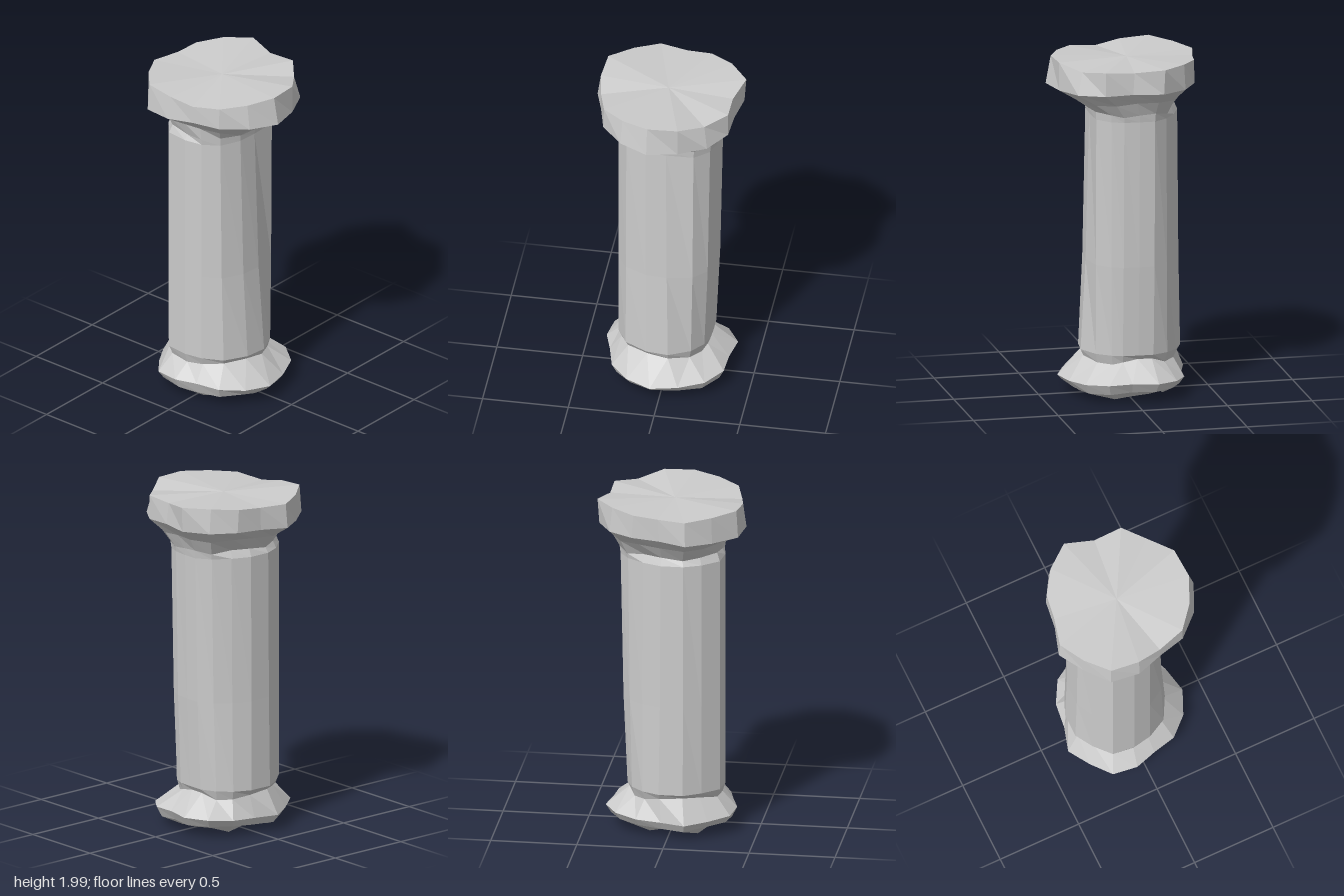
import * as THREE from 'three';

// Worn outlines as [x, z], running clockwise seen from above, starting at the back
const SHAFT = [[-0.12, -0.3], [-0.03, -0.3], [0.06, -0.29], [0.13, -0.265], [0.2, -0.18], [0.205, -0.02],
  [0.2, 0.1], [0.15, 0.22], [0.06, 0.28], [-0.05, 0.3], [-0.18, 0.285], [-0.265, 0.19], [-0.31, 0.09],
  [-0.31, -0.04], [-0.265, -0.15], [-0.2, -0.245]];
const FOOT = [[-0.12, -0.26], [-0.03, -0.26], [0.06, -0.255], [0.12, -0.23], [0.2, -0.165], [0.26, -0.04],
  [0.245, 0.09], [0.175, 0.22], [0.06, 0.28], [-0.05, 0.3], [-0.18, 0.285], [-0.265, 0.19], [-0.325, 0.09],
  [-0.325, -0.05], [-0.28, -0.15], [-0.21, -0.22]];
const SLAB_TOP = [[-0.15, -0.43], [0.02, -0.38], [0.19, -0.38], [0.3, -0.26], [0.405, -0.12], [0.415, 0.055],
  [0.345, 0.21], [0.24, 0.335], [0.075, 0.38], [-0.07, 0.405], [-0.24, 0.39], [-0.355, 0.26], [-0.435, 0.115],
  [-0.395, -0.045], [-0.375, -0.19], [-0.285, -0.325]];
const SLAB_LOW = [[-0.145, -0.42], [0.03, -0.39], [0.19, -0.38], [0.33, -0.28], [0.405, -0.12], [0.445, 0.055],
  [0.37, 0.22], [0.24, 0.34], [0.075, 0.38], [-0.075, 0.425], [-0.245, 0.4], [-0.355, 0.265], [-0.445, 0.12],
  [-0.395, -0.04], [-0.375, -0.2], [-0.29, -0.34]];
const TOP_Y = [2, 1.98, 1.99, 1.97, 2, 2, 1.99, 1.98, 1.96, 1.985, 2, 1.99, 1.98, 1.98, 1.99, 2];
// How far the capital's underside has flared at mid height, around the column
const FLARE = [0.4, 0.4, 0.4, 0.45, 0.55, 0.55, 0.5, 0.3, 0.15, 0.1, 0.1, 0.2, 0.25, 0.3, 0.35, 0.4];
const N = SHAFT.length;

const ring = (outline, y) => outline.map(([x, z], i) => [x, typeof y === 'function' ? y(i) : y, z]);
const scale = (outline, s) => outline.map(([x, z], i) => {
  const k = typeof s === 'function' ? s(i) : s;
  return [x * k, z * k];
});
const blend = (a, b, t) => a.map(([x, z], i) => {
  const k = typeof t === 'function' ? t(i) : t;
  return [x + (b[i][0] - x) * k, z + (b[i][1] - z) * k];
});
const wave = (i, k) => Math.sin(i * k + 1);

// Skin a stack of rings, bottom to top, with optional fan caps
function loft(name, rings, { bottomY, topY } = {}) {
  const pos = [];
  const tri = (...p) => p.forEach((v) => pos.push(...v));
  const centre = (r, y) => [
    r.reduce((s, p) => s + p[0], 0) / N, y, r.reduce((s, p) => s + p[2], 0) / N];
  const last = rings[rings.length - 1];
  for (let i = 0; i < N; i++) {
    const j = (i + 1) % N;
    for (let k = 0; k < rings.length - 1; k++) {
      const a = rings[k], b = rings[k + 1];
      tri(a[i], b[i], b[j]);
      tri(a[i], b[j], a[j]);
    }
    if (bottomY !== undefined) tri(centre(rings[0], bottomY), rings[0][i], rings[0][j]);
    if (topY !== undefined) tri(centre(last, topY), last[j], last[i]);
  }
  const geometry = new THREE.BufferGeometry();
  geometry.setAttribute('position', new THREE.Float32BufferAttribute(pos, 3));
  geometry.computeVertexNormals();
  const mesh = new THREE.Mesh(geometry, new THREE.MeshStandardMaterial({
    color: 0xcccccc, flatShading: true, side: THREE.DoubleSide }));
  mesh.name = name;
  return mesh;
}

export function createModel() {
  const group = new THREE.Group();
  group.name = 'stoneColumn';

  // Shaft: slightly uneven, splayed at the foot on one side
  const foot = ring(FOOT, 0.27);
  const neck = ring(SHAFT, 1.665);
  group.add(loft('shaft', [foot, ring(blend(SHAFT, FOOT, 0.42), 0.8), neck]));

  // Base: pinched collar, flared skirt and a chipped, hollowed underside
  const skirt = SLAB_LOW.map(([x, z]) => [x * 0.85, z * (z < 0 ? 0.92 : 0.87)]);
  group.add(loft('base', [
    ring(scale(skirt, 0.47), 0.05),
    ring(scale(skirt, (i) => 0.66 + 0.06 * wave(i, 1.7)), (i) => 0.025 + 0.022 * wave(i, 2.1)),
    ring(scale(skirt, 0.92), (i) => 0.065 + 0.01 * wave(i, 1.3)),
    ring(skirt, (i) => 0.115 + 0.012 * wave(i, 0.8)),
    ring(scale(FOOT, 0.94), (i) => 0.23 + 0.018 * wave(i, 1.1)),
    foot,
  ], { bottomY: 0.05 }));

  // Capital: pinched neck, uneven flare, then a thick slab with a worn upper edge
  group.add(loft('capital', [
    neck,
    ring(scale(SHAFT, (i) => (i > 8 && i < 15 ? 0.94 : 1.02)), (i) => 1.705 + 0.01 * wave(i, 1.9)),
    ring(blend(SHAFT, SLAB_LOW, (i) => FLARE[i]), (i) => 1.78 + 0.01 * wave(i, 1.4)),
    ring(SLAB_LOW, (i) => 1.845 + 0.01 * wave(i, 0.9)),
    ring(SLAB_TOP, (i) => TOP_Y[i]),
  ], { topY: 1.985 }));

  return group;
}
